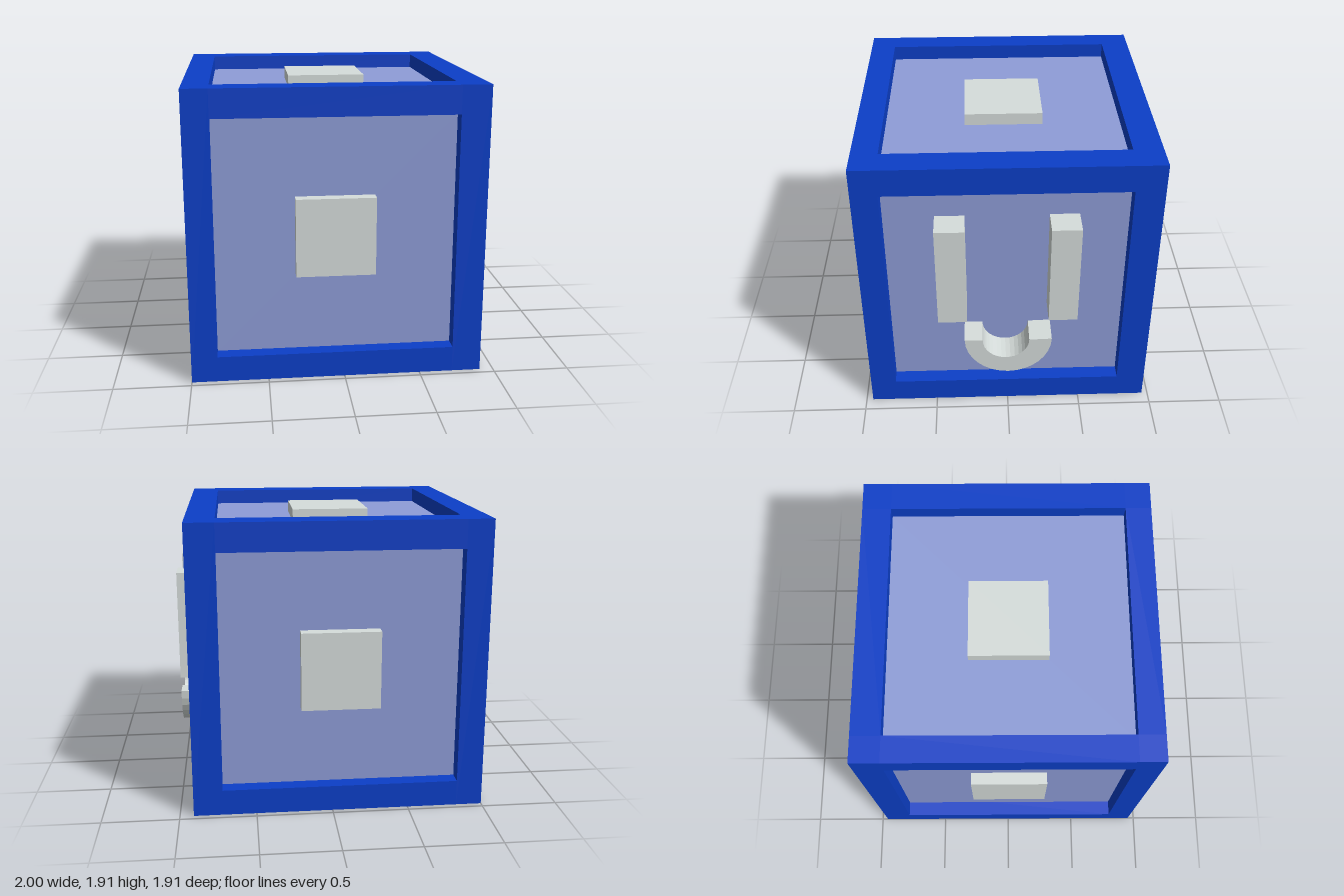
import * as THREE from 'three';

const mat = (color) => new THREE.MeshStandardMaterial({ color, flatShading: true });

// Box spanning two opposite corners
function block(name, min, max, material) {
  const size = max.map((v, i) => v - min[i]);
  const mesh = new THREE.Mesh(new THREE.BoxGeometry(...size), material);
  mesh.position.set(...min.map((v, i) => (v + max[i]) / 2));
  mesh.name = name;
  return mesh;
}

export function createModel() {
  const model = new THREE.Group();
  model.name = 'framedCube';
  const blue = mat(0x0c3fc8), paleBlue = mat(0x8e9dd8), white = mat(0xd6dddb);

  // Outer limits of the cube and limits of the window openings, per axis
  const lo = [-1, 0, -0.96], hi = [0.91, 1.915, 0.955];
  const winLo = [-0.83, 0.17, -0.77], winHi = [0.72, 1.73, 0.785];
  const recess = 0.1;

  // Frame: four beams along each axis; the upright posts fill the corners
  const frame = new THREE.Group();
  frame.name = 'frame';
  for (let axis = 0; axis < 3; axis++) {
    const a = (axis + 1) % 3, b = (axis + 2) % 3;
    for (const sa of [0, 1]) for (const sb of [0, 1]) {
      const min = [], max = [];
      min[axis] = axis === 1 ? lo[1] : winLo[axis];
      max[axis] = axis === 1 ? hi[1] : winHi[axis];
      for (const [k, s] of [[a, sa], [b, sb]]) {
        min[k] = s ? winHi[k] : lo[k];
        max[k] = s ? hi[k] : winLo[k];
      }
      frame.add(block('frameBeam', min, max, blue));
    }
  }
  model.add(frame);

  // Recessed panels, formed by one inner cube
  const inLo = lo.map((v) => v + recess), inHi = hi.map((v) => v - recess);
  model.add(block('innerPanels', inLo, inHi, paleBlue));

  // Square pads on every side except the face side (+x)
  const centre = [-0.055, 0.95, 0.005], half = 0.257, thick = 0.08;
  for (let axis = 0; axis < 3; axis++) for (const side of [-1, 1]) {
    if (axis === 0 && side === 1) continue;
    const min = centre.map((v) => v - half), max = centre.map((v) => v + half);
    min[axis] = side > 0 ? inHi[axis] - 0.01 : inLo[axis] - thick;
    max[axis] = side > 0 ? inHi[axis] + thick : inLo[axis] + 0.01;
    model.add(block('squarePad', min, max, white));
  }

  // Eyes
  for (const z of [0.365, -0.36]) {
    model.add(block('eye', [0.8, 0.785, z - 0.095], [0.99, 1.51, z + 0.095], white));
  }

  // Smiling mouth: half ring extruded outwards along +x
  const smile = new THREE.Shape();
  smile.absarc(0, 0.63, 0.29, Math.PI, 2 * Math.PI, false);
  smile.absarc(-0.015, 0.625, 0.155, 2 * Math.PI, Math.PI, true);
  const mouth = new THREE.Mesh(
    new THREE.ExtrudeGeometry(smile, { depth: 0.2, bevelEnabled: false, curveSegments: 8 }), white);
  mouth.name = 'mouth';
  mouth.rotation.y = Math.PI / 2;
  mouth.position.x = 0.8;
  model.add(mouth);

  return model;
}
